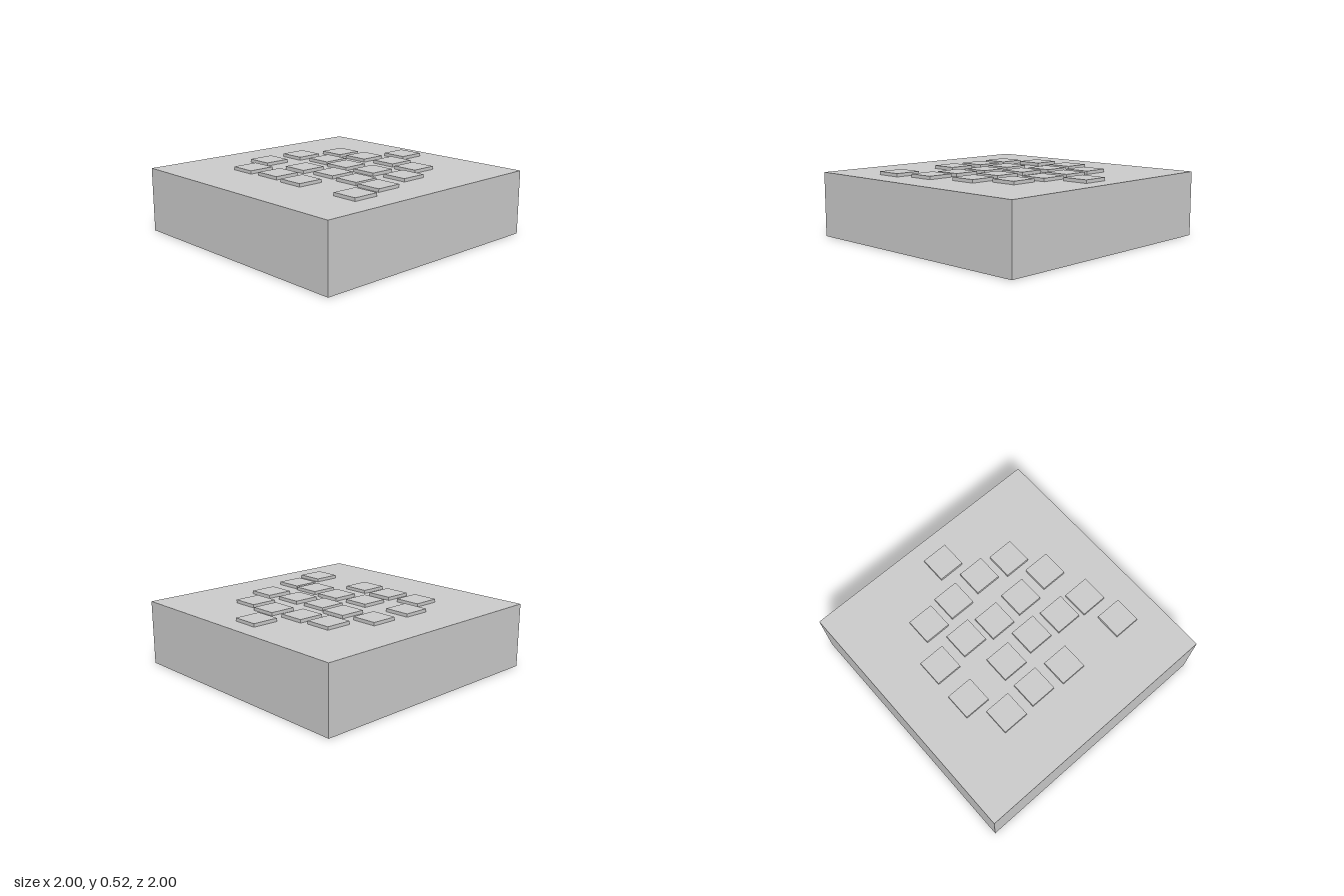
import * as THREE from 'three';

// Tile centres on the top face, as [x, z]
const TILES = [
  [-0.465, -0.415], [-0.20, -0.55], [0.13, -0.54], [0.435, -0.395], [0.165, -0.26],
  [-0.45, -0.135], [-0.17, -0.155], [0.455, -0.135], [0.13, -0.01], [0.755, 0.01],
  [-0.47, 0.145], [-0.135, 0.125], [0.485, 0.145], [0.145, 0.265], [-0.155, 0.39],
  [0.445, 0.41], [0.18, 0.545], [-0.465, 0.695], [-0.175, 0.63],
];

export function createModel() {
  const model = new THREE.Group();
  model.name = 'tiledBlock';
  const material = new THREE.MeshStandardMaterial({ color: 0xcccccc });

  // Square base block
  const base = new THREE.Mesh(new THREE.BoxGeometry(2, 0.5, 2), material);
  base.name = 'baseBlock';
  base.position.y = 0.25;
  model.add(base);

  // Thin raised tiles scattered over the top
  const tiles = new THREE.Group();
  tiles.name = 'tiles';
  const tileGeometry = new THREE.BoxGeometry(0.207, 0.025, 0.207);
  TILES.forEach(([x, z], i) => {
    const tile = new THREE.Mesh(tileGeometry, material);
    tile.name = `tile${i + 1}`;
    tile.position.set(x, 0.5125, z);
    tiles.add(tile);
  });
  model.add(tiles);

  return model;
}
